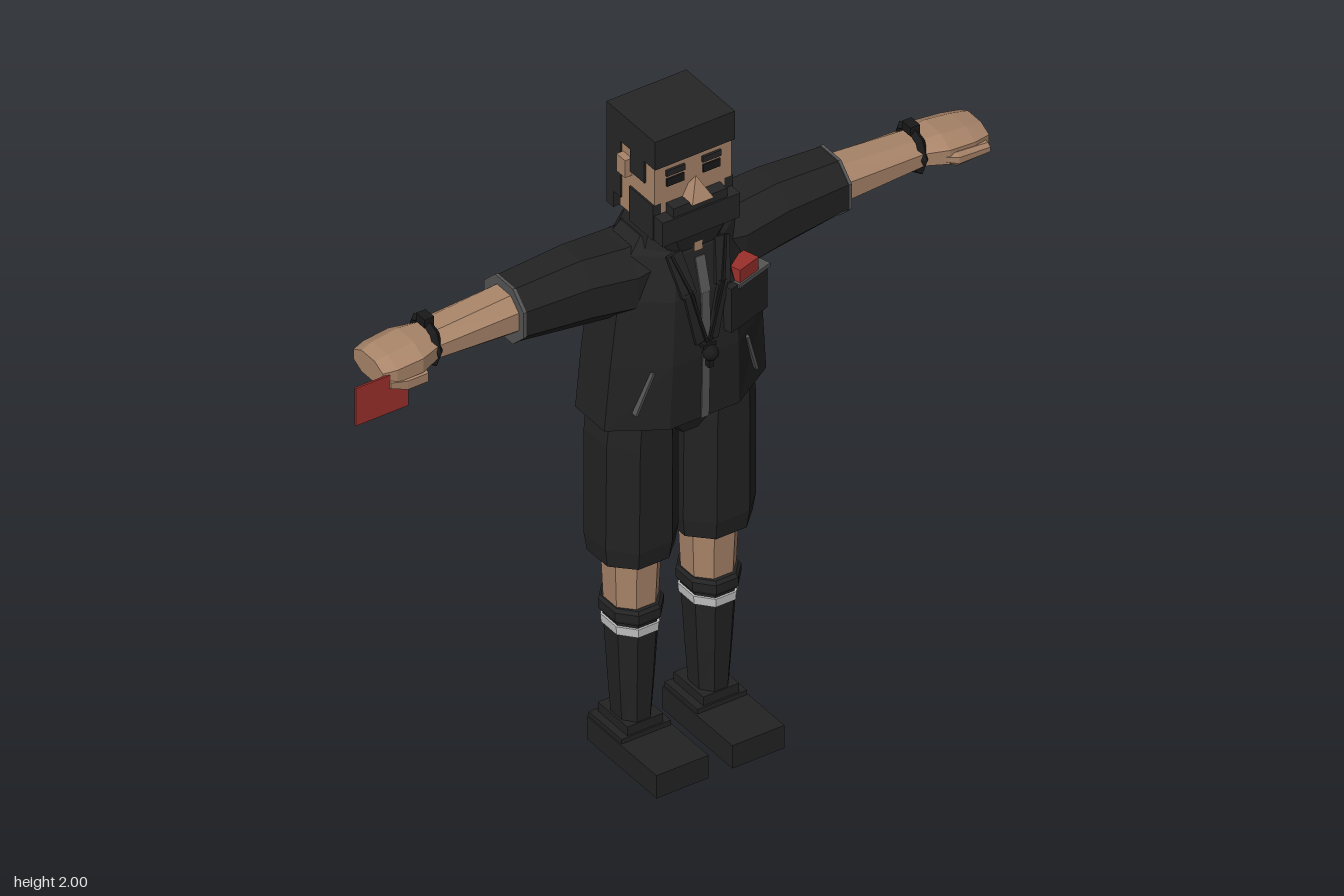
import * as THREE from 'three';

const mat = (name, color) => Object.assign(new THREE.MeshStandardMaterial({ color }), { name });

export function createModel() {
  const cloth = mat('black cloth', 0x232323), hairMat = mat('black hair', 0x262626), trim = mat('dark trim', 0x191919);
  const skin = mat('skin', 0xa9856a), grey = mat('grey zip', 0x555555), white = mat('white stripe', 0xc4c4c4), red = mat('red card', 0x9c302b);
  const model = new THREE.Group();
  const body = new THREE.Group();
  body.name = 'figure';
  body.position.x = 0.036;
  model.add(body);

  const add = (name, geo, material) => {
    const m = new THREE.Mesh(geo, material);
    m.name = name;
    body.add(m);
    return m;
  };
  // Box given by its limits on each axis
  const box = (name, material, [x0, x1], [y0, y1], [z0, z1]) => {
    const m = add(name, new THREE.BoxGeometry(x1 - x0, y1 - y0, z1 - z0), material);
    m.position.set((x0 + x1) / 2, (y0 + y1) / 2, (z0 + z1) / 2);
    return m;
  };
  // Flat strip between two points
  const bar = (name, material, a, b, w, d) => {
    const p = new THREE.Vector3(...a), q = new THREE.Vector3(...b), dir = q.clone().sub(p);
    const m = add(name, new THREE.BoxGeometry(w, dir.length(), d), material);
    m.position.copy(p).add(q).multiplyScalar(0.5);
    m.quaternion.setFromUnitVectors(new THREE.Vector3(0, 1, 0), dir.normalize());
    return m;
  };
  // Faceted octagonal loft. Sections: [t, centreA, halfA, centreB, halfB];
  // axis y uses A = z, B = x; axis x uses A = y, B = z.
  const loft = (name, material, axis, sections, k = 0.45) => {
    const oct = [[1, -k], [1, k], [k, 1], [-k, 1], [-1, k], [-1, -k], [-k, -1], [k, -1]];
    const put = (t, a, b) => (axis === 'y' ? [b, t, a] : [t, a, b]);
    const rows = [...sections].sort((p, q) => p[0] - q[0]);
    const rings = rows.map(([t, ca, ha, cb, hb]) => oct.map(([a, b]) => put(t, ca + a * ha, cb + b * hb)));
    const mids = rows.map(([t, ca, , cb]) => put(t, ca, cb));
    const pos = [], n = rows.length - 1;
    for (let i = 0; i < 8; i++) {
      const j = (i + 1) % 8;
      for (let r = 0; r < n; r++) {
        const a = rings[r][i], b = rings[r][j], c = rings[r + 1][j], d = rings[r + 1][i];
        pos.push(...a, ...b, ...c, ...a, ...c, ...d);
      }
      pos.push(...mids[0], ...rings[0][j], ...rings[0][i], ...mids[n], ...rings[n][i], ...rings[n][j]);
    }
    const g = new THREE.BufferGeometry();
    g.setAttribute('position', new THREE.Float32BufferAttribute(pos, 3));
    g.computeVertexNormals();
    return add(name, g, material);
  };

  // Jacket, collar and hips
  loft('jacket', cloth, 'y', [
    [1.1, -0.033, 0.157, 0, 0.255], [1.3, -0.027, 0.157, 0, 0.24], [1.5, -0.025, 0.15, 0, 0.215],
    [1.62, -0.03, 0.125, 0, 0.165], [1.66, -0.035, 0.105, 0, 0.125]], 0.43);
  loft('collar', cloth, 'y', [[1.58, -0.03, 0.12, 0, 0.145], [1.69, -0.025, 0.095, 0, 0.112]], 0.6);
  loft('hips', cloth, 'y', [[1.02, -0.04, 0.1, 0, 0.05], [1.08, -0.04, 0.118, 0, 0.15], [1.13, -0.04, 0.12, 0, 0.2]]);

  // Jacket front: zip, open neck, lapels
  bar('lowerZip', grey, [0, 1.1, 0.124], [0, 1.3, 0.13], 0.024, 0.008);
  bar('upperZip', grey, [0, 1.3, 0.13], [0, 1.5, 0.126], 0.026, 0.009);
  bar('zipTop', grey, [0, 1.5, 0.127], [0, 1.6, 0.1], 0.03, 0.009);
  box('throat', skin, [-0.013, 0.013], [1.6, 1.66], [0.05, 0.096]);
  for (const s of [-1, 1]) {
    bar('lapel', cloth, [s * 0.02, 1.35, 0.132], [s * 0.055, 1.52, 0.128], 0.03, 0.012);
    bar('lapelTop', cloth, [s * 0.053, 1.51, 0.13], [s * 0.075, 1.63, 0.09], 0.045, 0.012);
    bar('lanyard', trim, [s * 0.004, 1.35, 0.142], [s * 0.05, 1.52, 0.137], 0.008, 0.008);
    bar('lanyardTop', trim, [s * 0.05, 1.52, 0.137], [s * 0.085, 1.63, 0.095], 0.008, 0.008);
    // Slanted side pocket, standing on the angled flank
    bar('sidePocket', grey, [s * 0.19, 1.155, 0.081], [s * 0.148, 1.285, 0.1], 0.008, 0.018);
  }

  // Whistle on the chest
  add('whistle', new THREE.IcosahedronGeometry(0.023, 1), trim).position.set(0, 1.32, 0.152);
  box('whistleMouth', trim, [-0.008, 0.008], [1.275, 1.32], [0.14, 0.156]);
  box('whistleClip', trim, [-0.02, 0.02], [1.335, 1.348], [0.128, 0.15]);

  // Chest pocket with a card tucked in
  const pocket = (name, material, x, y, w, h, out) => {
    const m = add(name, new THREE.BoxGeometry(w, h, 0.05), material);
    m.position.set(x, y, 0.106 + out - (x - 0.13) * 0.31);
    m.rotation.y = 0.3;
  };
  pocket('chestPocket', cloth, 0.13, 1.425, 0.15, 0.14, 0);
  pocket('pocketEdge', grey, 0.148, 1.49, 0.128, 0.012, 0.005);
  pocket('pocketCard', red, 0.13, 1.515, 0.078, 0.042, 0);

  for (const s of [-1, 1]) {
    // Arm
    const arm = (name, material, rows, k) => loft(name, material, 'x', rows.map(([d, ...r]) => [s * d, ...r]), k);
    arm('sleeve', cloth, [
      [0.1, 1.545, 0.09, -0.045, 0.11], [0.17, 1.53, 0.105, -0.045, 0.115],
      [0.31, 1.547, 0.103, -0.04, 0.1], [0.513, 1.55, 0.085, -0.045, 0.089]]);
    arm('sleeveCuff', grey, [[0.508, 1.55, 0.088, -0.045, 0.092], [0.517, 1.55, 0.088, -0.045, 0.092]]);
    arm('forearm', skin, [[0.5, 1.55, 0.063, -0.045, 0.07], [0.77, 1.55, 0.042, -0.045, 0.064]]);
    const band = add('wristband', new THREE.TorusGeometry(0.062, 0.014, 4, 8).toNonIndexed(), trim);
    band.geometry.computeVertexNormals();
    band.position.set(s * 0.765, 1.552, -0.045);
    band.rotation.y = Math.PI / 2;
    box('wristbandStud', trim, [s * 0.765 - 0.015, s * 0.765 + 0.015], [1.605, 1.632], [-0.065, -0.025]);
    const tip = s > 0 ? 0.964 : 0.946;
    arm('hand', skin, [
      [0.765, 1.55, 0.042, -0.045, 0.064], [0.83, 1.547, 0.049, -0.04, 0.083],
      [0.91, 1.542, 0.044, -0.04, 0.08], [tip, 1.54, 0.034, -0.043, 0.068]]);
    if (s > 0) {
      arm('thumb', skin, [[0.8, 1.545, 0.012, 0.02, 0.01], [0.85, 1.535, 0.022, 0.035, 0.02], [0.95, 1.53, 0.016, 0.032, 0.02]]);
    } else {
      arm('curledFingers', skin, [[0.815, 1.505, 0.03, -0.01, 0.055], [0.88, 1.505, 0.03, -0.01, 0.055], [0.93, 1.52, 0.02, -0.01, 0.05]]);
      box('heldCard', red, [-1.036, -0.871], [1.43, 1.55], [0.027, 0.033]);
    }

    // Leg
    const x = s * 0.122;
    const leg = (name, material, rows) =>
      loft(name, material, 'y', rows.map(([y, zh, xh, zc = -0.037]) => [y, zc, zh, x, xh]));
    leg('shorts', cloth, [[0.643, 0.106, 0.107], [0.7, 0.115, 0.115], [1.03, 0.118, 0.113], [1.1, 0.12, 0.106]]);
    leg('shin', skin, [[0.46, 0.068, 0.066], [0.66, 0.077, 0.074]]);
    leg('sockCuff', cloth, [[0.443, 0.084, 0.073], [0.452, 0.087, 0.077], [0.477, 0.087, 0.077], [0.487, 0.08, 0.07]]);
    leg('sock', cloth, [[0.1, 0.057, 0.046], [0.25, 0.066, 0.056], [0.45, 0.077, 0.067]]);
    leg('sockStripe', white, [[0.403, 0.08, 0.07], [0.43, 0.082, 0.072]]);
    // Shoe
    const sx = s * 0.1195;
    box('shoe', cloth, [sx - 0.082, sx + 0.082], [0, 0.073], [-0.125, 0.198]);
    box('shoeHeel', cloth, [sx - 0.078, sx + 0.078], [0.05, 0.088], [-0.122, 0.03]);
    box('shoeCollar', cloth, [sx - 0.056, sx + 0.056], [0.085, 0.116], [-0.112, 0.025]);

    // Side of the head
    const side = (name, material, x0, x1, ys, zs) => box(name, material, s > 0 ? [x0, x1] : [-x1, -x0], ys, zs);
    side('sideburn', hairMat, 0.11, 0.126, [1.84, 1.92], [-0.035, 0.03]);
    side('ear', skin, 0.115, 0.142, [1.825, 1.88], [-0.075, -0.035]);
    side('brow', hairMat, 0.028, 0.086, [1.872, 1.89], [0.068, 0.077]);
    side('eye', trim, 0.03, 0.084, [1.838, 1.862], [0.068, 0.075]);
    side('beardSide', hairMat, 0.1, 0.126, [1.68, 1.79], [-0.04, 0.07]);
  }

  // Head, hair and beard
  box('face', skin, [-0.121, 0.121], [1.7, 1.93], [-0.09, 0.07]);
  box('neck', skin, [-0.085, 0.085], [1.6, 1.72], [-0.112, 0.04]);
  box('hairCap', hairMat, [-0.126, 0.126], [1.91, 2], [-0.145, 0.08]);
  box('hairBack', hairMat, [-0.126, 0.126], [1.73, 1.95], [-0.145, -0.08]);
  box('hairNape', hairMat, [-0.126, 0.126], [1.68, 1.75], [-0.145, -0.113]);
  box('beard', hairMat, [-0.122, 0.122], [1.68, 1.757], [-0.03, 0.11]);
  box('moustache', hairMat, [-0.085, 0.085], [1.75, 1.785], [0.06, 0.105]);
  const chin = loft('chin', hairMat, 'y', [[1.62, 0.03, 0.06, 0, 0.075], [1.69, 0.03, 0.078, 0, 0.115]], 0.7);
  chin.name = 'beardTip';
  const nose = add('nose', new THREE.ConeGeometry(0.048, 0.065, 4, 1, false, Math.PI / 4).toNonIndexed(), skin);
  nose.geometry.computeVertexNormals();
  nose.position.set(0, 1.815, 0.084);
  return model;
}
